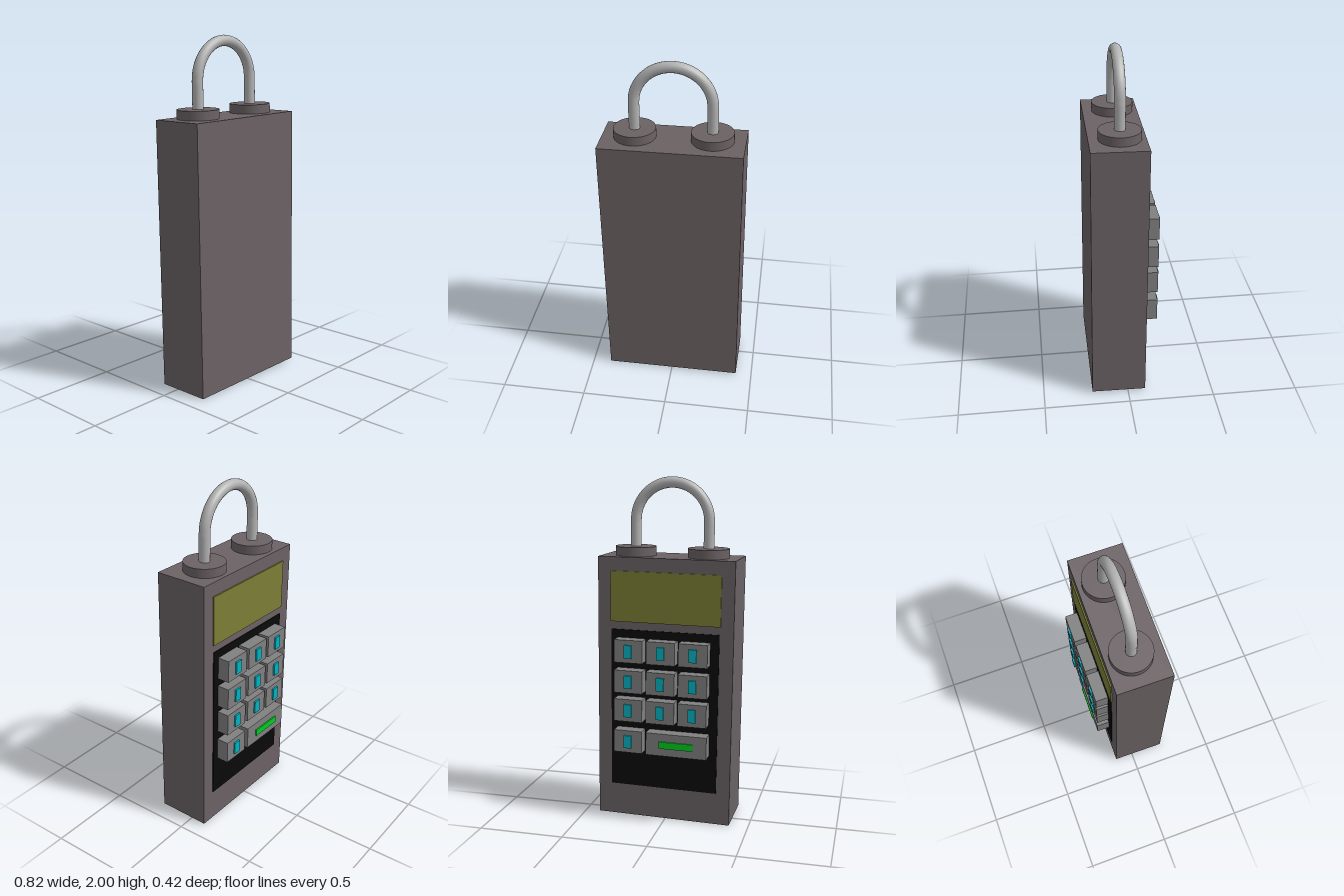
import * as THREE from 'three';

const W = 0.795, H = 1.545, D = 0.315;
const BACK = -D / 2; // the keypad face looks towards -z

const paint = (color) => new THREE.MeshStandardMaterial({ color });

export function createModel() {
  const casing = paint(0x6b6264);
  const steel = paint(0xb4b4b4);
  const keyGrey = paint(0x808080);
  const cyan = paint(0x00b4c4);
  const green = paint(0x00cc22);

  const lock = new THREE.Group();
  lock.name = 'keypadPadlock';

  const add = (name, geometry, material, x, y, z) => {
    const mesh = new THREE.Mesh(geometry, material);
    mesh.name = name;
    mesh.position.set(x, y, z);
    lock.add(mesh);
    return mesh;
  };

  // Slab standing proud of the keypad face, slightly sunk into the casing
  const onBack = (name, w, h, base, top, material, x, y) =>
    add(name, new THREE.BoxGeometry(w, h, top - base), material, x, y, BACK - (base + top) / 2);

  // Casing
  add('casing', new THREE.BoxGeometry(W, H, D), casing, 0, 0, 0);

  // Collars where the shackle enters the casing
  for (const [side, name] of [[1, 'leftCollar'], [-1, 'rightCollar']]) {
    add(name, new THREE.CylinderGeometry(0.118, 0.118, 0.07, 48), casing,
      side * 0.215, H / 2 + 0.017, -0.014);
  }

  // Shackle: two straight legs joined by a half circle
  const r = 0.215, archY = 0.974, legY = 0.78;
  const path = new THREE.CurvePath();
  const arch = [];
  for (let i = 0; i <= 16; i++) {
    const a = Math.PI * (1 - i / 16);
    arch.push(new THREE.Vector3(r * Math.cos(a), archY + r * Math.sin(a), 0));
  }
  const foot = (x) => new THREE.Vector3(x, legY, 0);
  path.add(new THREE.LineCurve3(foot(-r), arch[0]));
  path.add(new THREE.CatmullRomCurve3(arch));
  path.add(new THREE.LineCurve3(arch[16], foot(r)));
  add('shackle', new THREE.TubeGeometry(path, 60, 0.031, 16), steel, 0, 0, -0.014);

  // Display and dark keypad panel
  onBack('display', 0.645, 0.29, -0.01, 0.008, paint(0x7c7f36), 0, 0.548);
  onBack('keypadPanel', 0.635, 0.94, -0.01, 0.005, paint(0x0a0a0a), 0, -0.112);

  // Keys with plain raised markers: three columns, four rows
  const columns = [0.195, 0.005, -0.183];
  const rows = [0.245, 0.067, -0.103, -0.29];
  rows.forEach((y, row) => {
    columns.forEach((x, col) => {
      if (row === 3 && col > 0) return;
      onBack('key', 0.167, 0.132, 0, 0.077, keyGrey, x, y);
      onBack('keyMarker', 0.045, 0.075, 0.07, 0.087, cyan, x, y);
    });
  });

  // Wide confirm key
  onBack('confirmKey', 0.357, 0.132, 0, 0.081, keyGrey, -0.093, rows[3]);
  onBack('confirmMarker', 0.2, 0.04, 0.07, 0.089, green, -0.093, rows[3]);

  // The whole lock leans very slightly
  lock.rotation.set(-0.008, -0.0125, 0.0135);
  lock.position.set(-0.002, 0.779, 0.044);

  const model = new THREE.Group();
  model.name = 'model';
  model.add(lock);
  return model;
}
